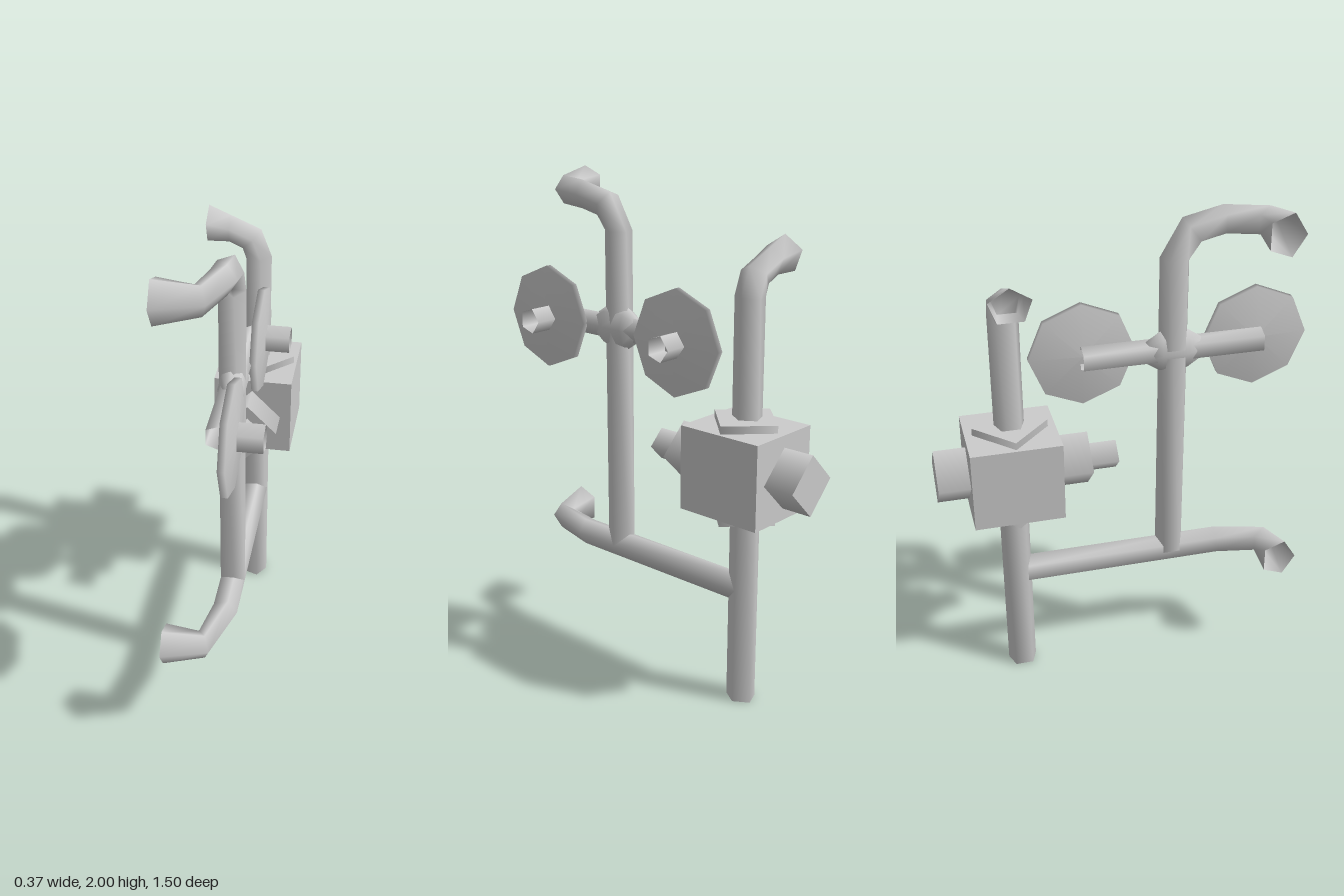
import * as THREE from 'three';

const SIDES = 5;
const DEPTH = 0.0536; // pipe half size towards its ridge
const WIDTH = 0.062; // pipe half size across

const material = new THREE.MeshStandardMaterial({ color: 0xcccccc, side: THREE.DoubleSide });

// Open five-sided pipe. Each ring: [centre, ridge direction, side direction, scale]
function pipe(name, rings) {
  const positions = [];
  const index = [];
  rings.forEach(([c, ridge, side, scale = 1], i) => {
    const u = new THREE.Vector3(...ridge).normalize();
    const v = new THREE.Vector3(...side).normalize();
    for (let j = 0; j < SIDES; j++) {
      const a = (j / SIDES) * Math.PI * 2;
      const p = new THREE.Vector3(...c)
        .addScaledVector(u, Math.cos(a) * DEPTH * scale)
        .addScaledVector(v, Math.sin(a) * WIDTH * scale);
      positions.push(p.x, p.y, p.z);
      if (i < rings.length - 1) {
        const p0 = i * SIDES + j;
        const p1 = i * SIDES + ((j + 1) % SIDES);
        index.push(p0, p1, p0 + SIDES, p1, p1 + SIDES, p0 + SIDES);
      }
    }
  });
  const geometry = new THREE.BufferGeometry();
  geometry.setAttribute('position', new THREE.Float32BufferAttribute(positions, 3));
  geometry.setIndex(index);
  geometry.computeVertexNormals();
  const mesh = new THREE.Mesh(geometry, material);
  mesh.name = name;
  return mesh;
}

export function createModel() {
  const group = new THREE.Group();
  const X = [1, 0, 0], Y = [0, 1, 0], Z = [0, 0, 1], BACK = [0, 0, -1];
  const cx = 0.013;

  const add = (name, geometry, x, y, z) => {
    const mesh = new THREE.Mesh(geometry, material);
    mesh.name = name;
    mesh.position.set(x, y, z);
    group.add(mesh);
    return mesh;
  };

  // Rear post, curling sideways at the top into a flared mouth
  group.add(pipe('rearPost', [
    [[cx, 0, -0.45], X, BACK],
    [[cx, 1.62, -0.45], X, BACK],
    [[-0.015, 1.695, -0.45], [1, 1, 0], BACK],
    [[-0.1, 1.732, -0.45], Y, BACK],
    [[-0.185, 1.75, -0.45], Y, BACK, 1.34],
  ]));

  // Low rail running forward, then sideways
  group.add(pipe('lowerRail', [
    [[cx, 0.477, -0.45], X, Y, 0.95],
    [[cx, 0.477, 0.4], X, Y, 0.95],
    [[-0.035, 0.477, 0.595], [0.55, 0, 0.85], Y, 0.95],
    [[-0.185, 0.48, 0.62], Z, Y, 1.38],
  ]));

  // Front riser, bending forward and then sideways
  group.add(pipe('frontRiser', [
    [[cx, 0.477, 0.2], X, BACK, 0.97],
    [[cx, 1.79, 0.2], X, BACK, 0.97],
    [[cx, 1.89, 0.262], X, [0, 0.8, -0.6]],
    [[cx, 1.917, 0.38], X, Y, 0.95],
    [[-0.035, 1.917, 0.53], [0.55, 0, 0.85], Y, 0.95],
    [[-0.185, 1.915, 0.553], Z, Y, 1.42],
  ]));

  // Hub on the riser, tapered to both ends
  const hubProfile = [[0, -0.11], [0.045, -0.11], [0.085, -0.05], [0.085, 0.05], [0.045, 0.11], [0, 0.11]];
  const hubGeometry = new THREE.LatheGeometry(hubProfile.map(p => new THREE.Vector2(...p)), 8);
  hubGeometry.rotateX(Math.PI / 2).scale(0.6, 1, 1);
  add('valveHub', hubGeometry, 0.018, 1.41, 0.2);

  // Arm carrying the two discs
  group.add(pipe('discArm', [
    [[0.018, 1.41, -0.16], X, Y, 0.83],
    [[0.018, 1.41, 0.56], X, Y, 0.83],
  ]));

  // Eight-sided discs, slightly domed on both faces, each with an open stub
  const discProfile = [[0, -0.027], [0.21, -0.013], [0.21, 0.013], [0, 0.027]];
  for (const z of [0.545, -0.15]) {
    const disc = new THREE.LatheGeometry(discProfile.map(p => new THREE.Vector2(...p)), 8);
    add('disc', disc.rotateZ(-Math.PI / 2), 0.068, 1.41, z);
    const stub = new THREE.CylinderGeometry(0.053, 0.053, 0.11, 5, 1, true);
    stub.rotateY(Math.PI).rotateZ(-Math.PI / 2);
    add('discStub', stub, 0.129, 1.41, z - 0.005);
  }

  // Junction box with a square collar turned 45 degrees above and below
  add('junctionBox', new THREE.BoxGeometry(0.32, 0.33, 0.355), 0.02, 0.975, -0.448);
  add('collars', new THREE.CylinderGeometry(0.148, 0.148, 0.39, 4), 0.02, 0.975, -0.448);

  // Four-sided couplings through the box, front to back
  for (const [name, r, z0, z1] of [['coupling', 0.118, -0.75, -0.145], ['nozzle', 0.063, -0.2, -0.03]]) {
    const geometry = new THREE.CylinderGeometry(r, r, z1 - z0, 4).rotateX(Math.PI / 2);
    add(name, geometry, 0.018, 0.975, (z0 + z1) / 2);
  }

  return group;
}
